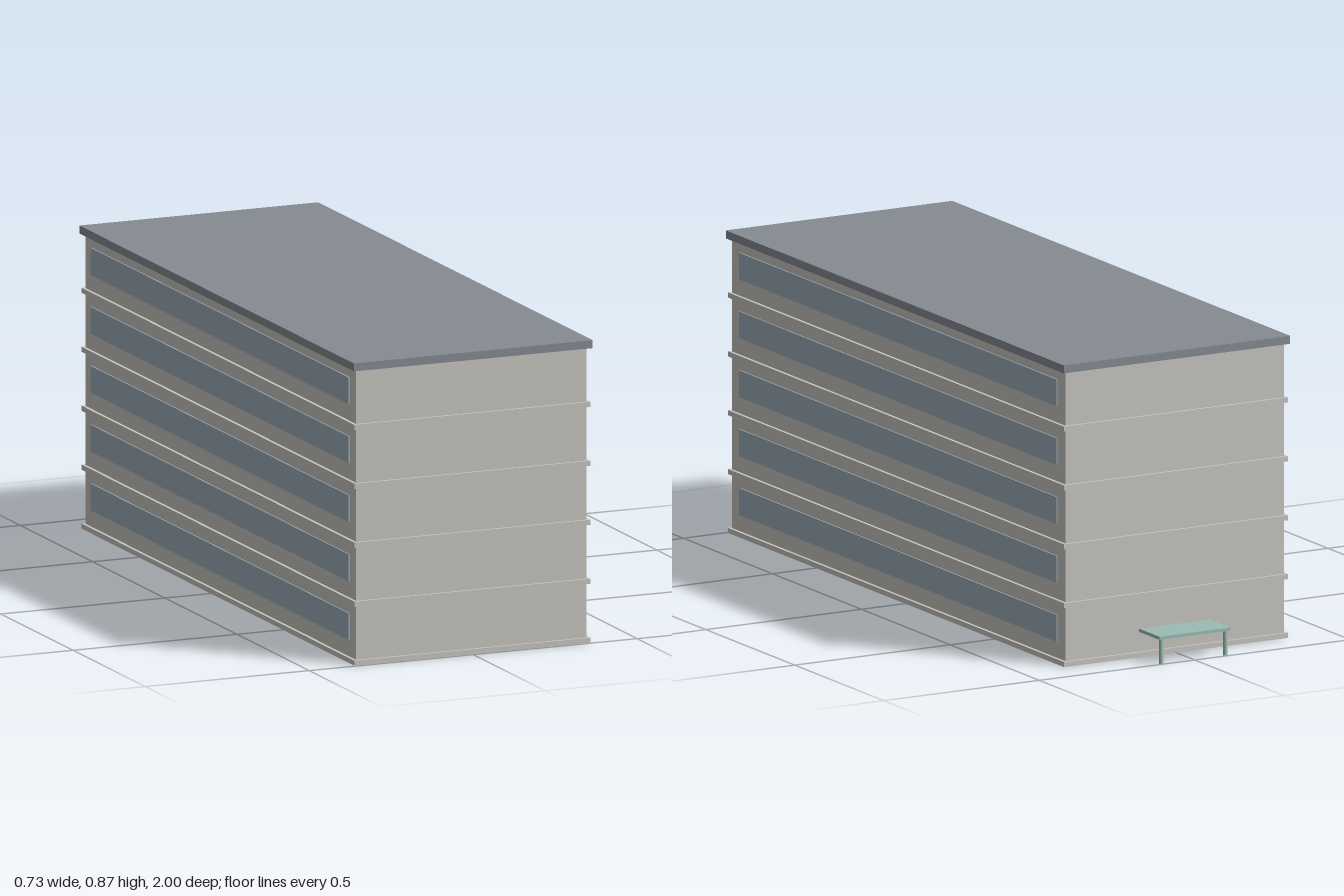
import * as THREE from 'three';

const material = (name, color) => {
  const m = new THREE.MeshStandardMaterial({ color });
  m.name = name;
  return m;
};

export function createModel() {
  const concrete = material('warm grey concrete', 0xc8c6c0);
  const roofing = material('slate grey roofing', 0x868b93);
  const glass = material('blue grey glass', 0x9aadb9);
  const canopyGreen = material('pale green canopy', 0x9bbcb4);

  const building = new THREE.Group();
  building.name = 'officeBuilding';
  const add = (name, geometry, mat, x, y, z) => {
    const mesh = new THREE.Mesh(geometry, mat);
    mesh.name = name;
    mesh.position.set(x, y, z);
    building.add(mesh);
  };
  // Box standing on height y
  const box = (name, mat, w, h, d, x, y, z) =>
    add(name, new THREE.BoxGeometry(w, h, d), mat, x, y + h / 2, z);

  const floors = 5, storey = 0.1687, centreZ = 0.05;
  const height = floors * storey;

  // Main block and overhanging roof slab
  box('walls', concrete, 0.702, height, 1.874, 0, 0, centreZ);
  box('roof', roofing, 0.728, 0.023, 1.9, 0, height, centreZ);

  // Floor slab edge and a ribbon window on each long side, per storey
  for (let i = 0; i < floors; i++) {
    const y = i * storey;
    box('floorBand', concrete, 0.72, 0.0145, 1.89, 0, y, centreZ);
    for (const side of [-1, 1]) {
      box('ribbonWindow', glass, 0.008, 0.077, 1.785, side * 0.351, y + 0.062, centreZ);
    }
  }

  // Entrance canopy on two posts at the back
  box('canopy', canopyGreen, 0.228, 0.009, 0.113, 0, 0.071, -0.9435);
  for (const side of [-1, 1]) {
    add('canopyPost', new THREE.CylinderGeometry(0.006, 0.006, 0.071, 12), canopyGreen,
      side * 0.103, 0.0355, -0.991);
  }
  return building;
}
